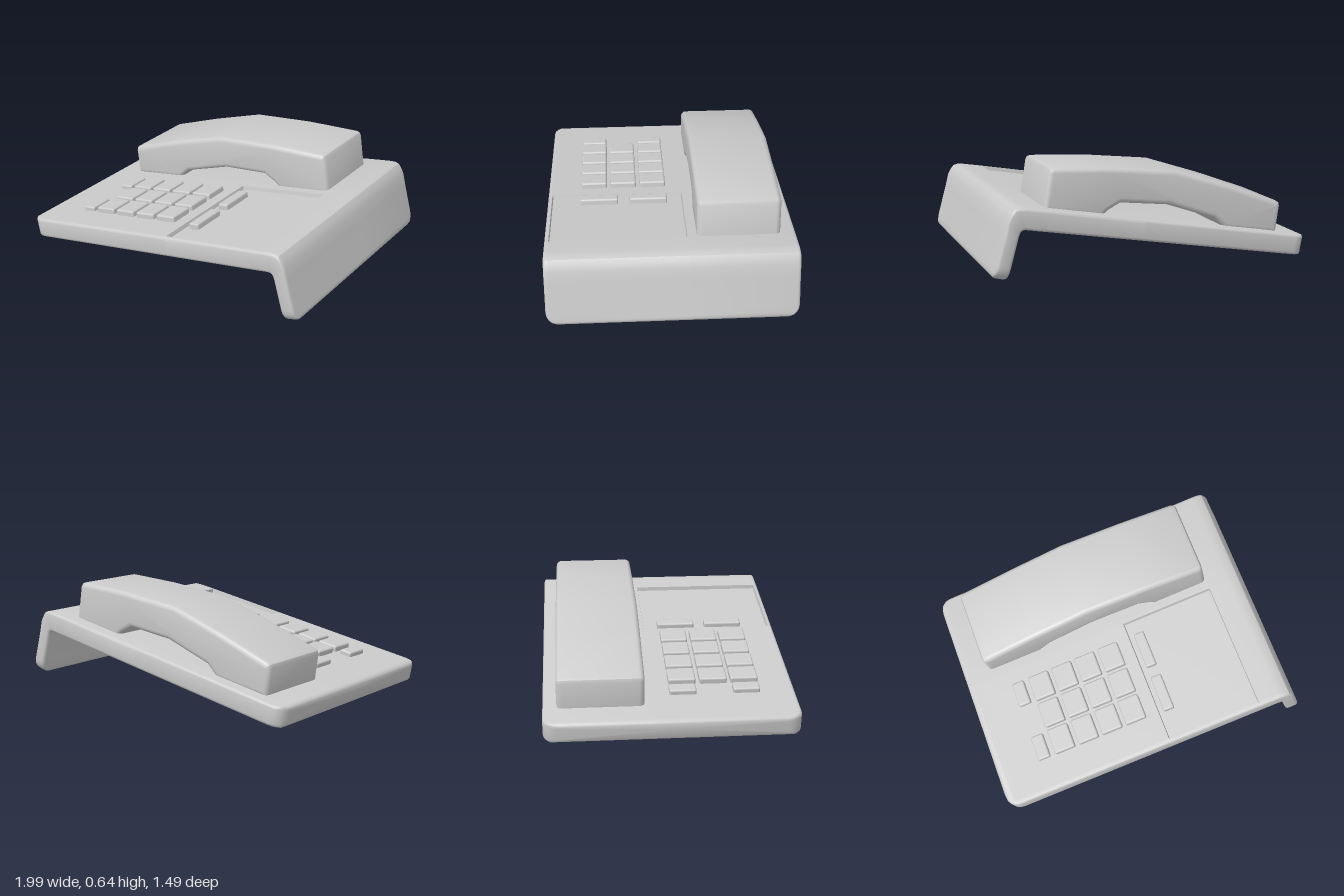
import * as THREE from 'three';
import { toCreasedNormals } from 'three/addons/utils/BufferGeometryUtils.js';
import { RoundedBoxGeometry } from 'three/addons/geometries/RoundedBoxGeometry.js';

const material = new THREE.MeshStandardMaterial({ color: 0xcccccc });
const TILT = Math.atan(0.18);
const HALF = 0.745, CORNER = 0.08, EDGE = 0.018, THICK = 0.125;
const RECESS = { s1: 1.1, s2: 1.7, z1: -0.1, z2: 0.72, depth: 0.025 };
const V = (x, y) => new THREE.Vector2(x, y);

// Half depth of the body at distance d from one of its rounded ends
const halfAt = d => d >= CORNER ? HALF
  : HALF - CORNER + Math.sqrt(CORNER ** 2 - (CORNER - d) ** 2);

// Stations along the body: top point, bottom point, half depth, recessed or not
function bodyStations() {
  const u = V(Math.cos(TILT), Math.sin(TILT)), n = V(-u.y, u.x);
  const stations = [];
  const add = (top, bottom, half, inset = 0, recessed = false) => {
    const across = bottom.clone().sub(top).normalize().multiplyScalar(inset);
    stations.push({ top: top.clone().add(across), bottom: bottom.clone().sub(across), half, recessed });
  };
  const slab = (s, inset, recessed) => {
    const b = V(-0.98, 0).addScaledVector(u, s);
    add(b.clone().addScaledVector(n, THICK), b, halfAt(s), inset, recessed);
  };
  const leg = (d, inset) => {
    const t = V(0.998, 0.052).addScaledVector(V(-0.27, 0.963), d);
    add(t, t.clone().addScaledVector(V(-0.963, -0.27), 0.085), halfAt(d), inset);
  };
  const ends = [[0, 0.018], [0.006, 0.008], [0.018, 0], [0.035, 0], [0.055, 0], [0.08, 0]];

  ends.forEach(([d, inset]) => slab(d, inset));
  slab(RECESS.s1 - 0.002);
  slab(RECESS.s1 + 0.002, 0, true);
  slab(RECESS.s2 - 0.002, 0, true);
  slab(RECESS.s2 + 0.002);
  // bend between the slab and the leg
  [[0.8, 0.446, 0.795, 0.32], [0.84, 0.45, 0.81, 0.322], [0.868, 0.443, 0.822, 0.32],
    [0.887, 0.42, 0.83, 0.316], [0.907, 0.383, 0.837, 0.306]]
    .forEach(([a, b, c, d]) => add(V(a, b), V(c, d), HALF));
  leg(0.27, 0);
  ends.reverse().forEach(([d, inset]) => leg(d, inset));
  return stations;
}

// Cross-section of the body: rounded edges, with the tray dropped into the top
function bodyRing({ top, bottom, half, recessed }) {
  const up = top.clone().sub(bottom), thick = up.length();
  up.normalize();
  const ring = [];
  const put = (drop, z) => {
    const p = top.clone().addScaledVector(up, -drop);
    ring.push(new THREE.Vector3(p.x, p.y, z));
  };
  const corner = (zSide, fromTop, a) => put(
    fromTop ? EDGE * (1 - Math.sin(a)) : thick - EDGE * (1 - Math.sin(a)),
    zSide * (half - EDGE + EDGE * Math.cos(a)));
  const angles = [0, 1, 2, 3].map(i => i * Math.PI / 6);
  const drop = recessed ? RECESS.depth : 0, lim = half - EDGE;
  angles.forEach(a => corner(-1, true, a));
  put(0, RECESS.z1);
  put(drop, RECESS.z1 + 0.004);
  put(drop, Math.min(lim, RECESS.z2 - 0.004));
  put(0, Math.min(lim, RECESS.z2));
  [...angles].reverse().forEach(a => corner(1, true, a));
  angles.forEach(a => corner(1, false, a));
  [...angles].reverse().forEach(a => corner(-1, false, a));
  return ring;
}

// Skin a row of matching rings and close both ends
function loft(rings) {
  const pos = [], n = rings[0].length;
  const tri = (...pts) => pts.forEach(p => pos.push(p.x, p.y, p.z));
  for (let i = 0; i < rings.length - 1; i++) {
    for (let j = 0; j < n; j++) {
      const k = (j + 1) % n, a = rings[i], b = rings[i + 1];
      tri(a[j], a[k], b[k]);
      tri(a[j], b[k], b[j]);
    }
  }
  [rings[0], rings[rings.length - 1]].forEach((ring, end) => {
    const mid = new THREE.Vector3();
    ring.forEach(p => mid.addScaledVector(p, 1 / n));
    ring.forEach((p, j) => {
      const q = ring[(j + 1) % n];
      if (end) tri(mid, p, q); else tri(mid, q, p);
    });
  });
  const geometry = new THREE.BufferGeometry();
  geometry.setAttribute('position', new THREE.Float32BufferAttribute(pos, 3));
  return toCreasedNormals(geometry, 0.6);
}

// Handset: arched side outline extruded across its width with soft edges
function handsetGeometry() {
  const outline = [[-0.83, 0.14], [-0.854, 0.31], [-0.849, 0.33], [-0.83, 0.343], [-0.5, 0.465],
    [-0.15, 0.58], [0.25, 0.625], [0.605, 0.646], [0.625, 0.64], [0.636, 0.622], [0.672, 0.4],
    [0.32, 0.335], [0.28, 0.37], [0.2, 0.41], [-0.1, 0.375], [-0.4, 0.27], [-0.47, 0.2]];
  const bevel = 0.032;
  const geometry = new THREE.ExtrudeGeometry(new THREE.Shape(outline.map(p => V(...p))), {
    depth: 0.51 - 2 * bevel, bevelThickness: bevel, bevelSize: bevel,
    bevelOffset: -bevel, bevelSegments: 4,
  });
  geometry.translate(0, 0, -0.665 + bevel);
  // the back side narrows slightly towards one end
  const p = geometry.attributes.position;
  for (let i = 0; i < p.count; i++) {
    if (p.getZ(i) < -0.4) p.setZ(i, p.getZ(i) + 0.012 * (p.getX(i) + 0.85) / 1.5);
  }
  return toCreasedNormals(geometry, 0.5);
}

export function createModel() {
  const model = new THREE.Group();
  model.name = 'deskTelephone';
  const addMesh = (name, geometry, parent = model) => {
    const mesh = new THREE.Mesh(geometry, material);
    mesh.name = name;
    parent.add(mesh);
    return mesh;
  };

  addMesh('body', loft(bodyStations().map(bodyRing)));
  addMesh('handset', handsetGeometry());

  // Keys lie along the sloping top
  const keys = new THREE.Group();
  keys.name = 'keys';
  model.add(keys);
  const addKey = (name, x, z, width, depth, rise) => {
    const height = 0.06;
    const key = addMesh(name, new RoundedBoxGeometry(width, height, depth, 2, 0.012), keys);
    const surface = 0.123 + 0.18 * (x + 1.002);
    const lift = rise - height / 2;
    key.position.set(x - Math.sin(TILT) * lift, surface + Math.cos(TILT) * lift, z);
    key.rotation.z = TILT;
  };
  const rows = [0.082, 0.27, 0.456];
  for (const z of rows) {
    for (let col = 0; col < 4; col++) addKey('dialKey', -0.545 + col * 0.159, z, 0.138, 0.165, 0.036);
  }
  for (const z of [rows[0] - 0.004, rows[2]]) addKey('sideKey', -0.685, z, 0.082, 0.16, 0.03);
  for (const z of [0.115, 0.423]) addKey('trayKey', 0.147, z, 0.07, 0.238, 0.012);

  return model;
}
